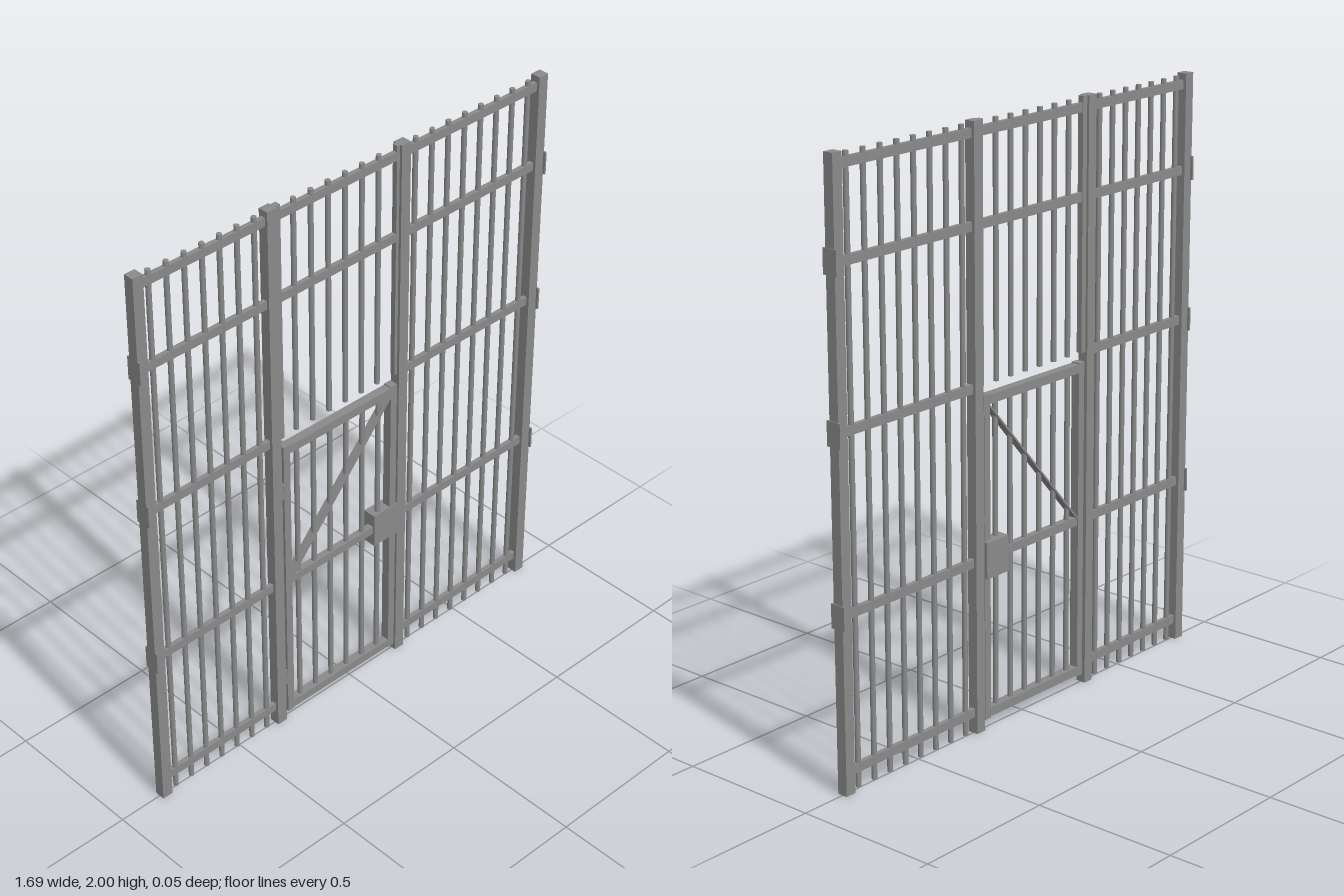
import * as THREE from 'three';

export function createModel() {
  const gate = new THREE.Group();
  gate.name = 'barredGate';
  const steel = new THREE.MeshStandardMaterial({ color: 0x8a8a8a });
  steel.name = 'grey steel';

  // Box given by its limits on each axis
  function box(name, x0, x1, y0, y1, z0, z1) {
    const m = new THREE.Mesh(new THREE.BoxGeometry(x1 - x0, y1 - y0, z1 - z0), steel);
    m.position.set((x0 + x1) / 2, (y0 + y1) / 2, (z0 + z1) / 2);
    m.name = name;
    gate.add(m);
    return m;
  }

  // Upright round rod
  function rod(name, x, y0, y1, z = 0, r = 0.009) {
    const m = new THREE.Mesh(new THREE.CylinderGeometry(r, r, y1 - y0, 10), steel);
    m.position.set(x, (y0 + y1) / 2, z);
    m.name = name;
    gate.add(m);
  }

  // Evenly spaced rods
  function rods(name, first, last, count, y0, y1, z) {
    for (let i = 0; i < count; i++) {
      rod(name, first + (last - first) * i / (count - 1), y0, y1, z);
    }
  }

  const rail = (name, x0, x1, y) => box(name, x0, x1, y - 0.015, y + 0.015, -0.008, 0.008);

  // Main posts
  for (const x of [-0.825, -0.323, 0.221, 0.822]) {
    box('post', x - 0.019, x + 0.019, 0, 2, -0.018, 0.018);
  }

  // Side panels
  for (const y of [0.072, 0.585, 1.16, 1.675, 1.963]) {
    rail('leftRail', 0.235, 0.81, y);
    rail('rightRail', -0.81, -0.335, y);
  }
  rods('leftBar', 0.277, 0.77, 8, 0.005, 1.995);
  rods('rightBar', -0.775, -0.378, 7, 0.005, 1.995);

  // Fixing plates on the outer posts
  for (const y of [0.585, 1.16, 1.68]) {
    for (const s of [-1, 1]) {
      box('fixingPlate', s * 0.841 - 0.003, s * 0.841 + 0.003, y - 0.04, y + 0.04, -0.027, 0.027);
    }
  }

  // Fixed panel over the door
  for (const y of [1.675, 1.963]) rail('upperRail', -0.31, 0.205, y);
  rods('upperBar', -0.225, 0.122, 6, 1.16, 1.995);
  box('upperEdgeBar', -0.305, -0.284, 1.16, 2, -0.01, 0.01);
  box('upperEdgeBar', 0.19, 0.203, 1.16, 2, -0.009, 0.009);

  // Door leaf
  const back = -0.012, front = 0.019;
  box('doorStile', -0.297, -0.27, 0.032, 1.13, back, front);
  box('doorStile', 0.166, 0.193, 0.032, 1.13, back, front);
  box('doorTopRail', -0.285, 0.18, 1.096, 1.126, back, front);
  box('doorMiddleRail', -0.285, 0.18, 0.571, 0.6, -0.008, 0.016);
  box('doorBottomRail', -0.285, 0.18, 0.036, 0.066, back, front);
  rods('doorBar', -0.23, 0.124, 6, 0.05, 1.11, 0.004);

  // Diagonal brace, a flat strip set on edge
  const a = new THREE.Vector2(-0.275, 0.59), b = new THREE.Vector2(0.174, 1.1);
  const brace = box('doorBrace', 0, a.distanceTo(b), 0, 0.006, back, front);
  brace.position.set((a.x + b.x) / 2, (a.y + b.y) / 2, (back + front) / 2);
  brace.rotation.z = Math.atan2(b.y - a.y, b.x - a.x);

  // Lock box and hinges
  box('lockBox', 0.094, 0.198, 0.523, 0.646, -0.026, 0.022);
  for (const y of [0.185, 0.96]) rod('hinge', -0.301, y - 0.03, y + 0.03, 0.013, 0.007);

  return gate;
}
